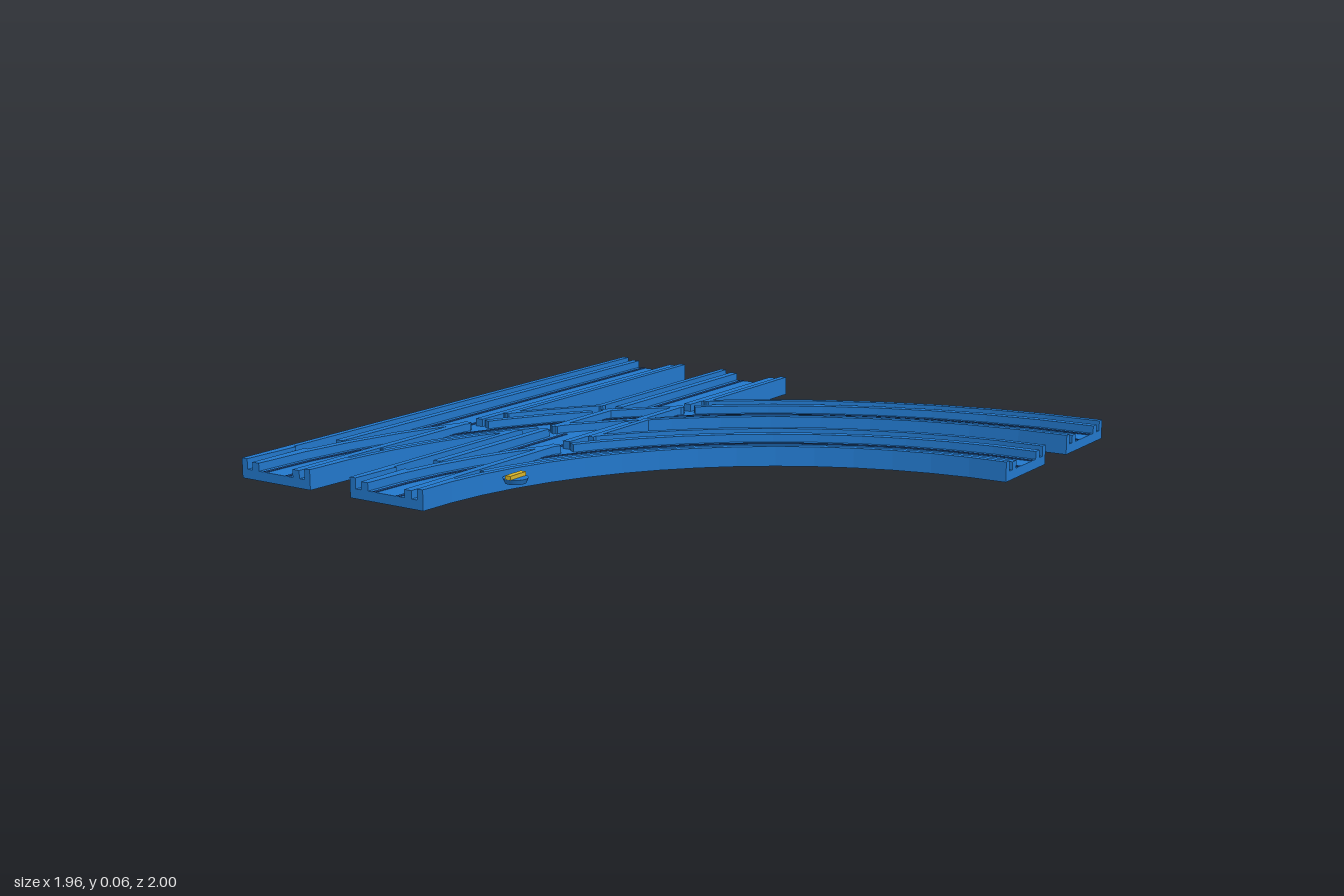
import * as THREE from 'three';

const blue = new THREE.MeshStandardMaterial({ color: 0x2278cc, name: 'track blue' });
const navy = new THREE.MeshStandardMaterial({ color: 0x1e4d8c, name: 'groove navy' });
const yellow = new THREE.MeshStandardMaterial({ color: 0xd8b62c, name: 'lever yellow' });

const SEG = 16;               // chords in a quarter turn
const CX = 0.98, CZ = 1;      // shared centre of both bends
const STEPS = 320;            // sampling used to find where rails are cut

// A track: point at side offset o and travel t, and distance from its centre line
const straight = (c) => ({
  kind: 'straight', knots: 1,
  at: (o, t) => [c - o, 1 - 2 * t],
  dist: (x) => Math.abs(x - c),
});
const bend = (R) => ({
  kind: 'curved', knots: SEG,
  at: (o, t) => {
    const i = Math.min(Math.floor(t * SEG), SEG - 1), f = t * SEG - i;
    const p = (k) => {
      const a = (k / SEG) * Math.PI / 2;
      return [CX - (R + o) * Math.cos(a), CZ - (R + o) * Math.sin(a)];
    };
    const a = p(i), b = p(i + 1);
    return [a[0] + (b[0] - a[0]) * f, a[1] + (b[1] - a[1]) * f];
  },
  dist: (x, z) => Math.abs(Math.hypot(x - CX, z - CZ) - R),
});

// Rectangular bar swept along a track, kept only where keep(x, z) holds
function bar(track, o0, o1, y0, y1, keep = () => true) {
  const runs = [];
  let run = null;
  for (let i = 0; i <= STEPS; i++) {
    const t = i / STEPS;
    if (keep(...track.at((o0 + o1) / 2, t))) {
      if (!run) runs.push(run = [t, t]);
      run[1] = t;
    } else run = null;
  }
  const pos = [];
  const quad = (a, b, c, d) => pos.push(...a, ...b, ...c, ...a, ...c, ...d);
  const ring = (t) => [[o0, y0], [o0, y1], [o1, y1], [o1, y0]].map(([o, y]) => {
    const [x, z] = track.at(o, t);
    return [x, y, z];
  });
  for (const [a, b] of runs) {
    if (b - a < 0.004) continue;
    const ts = [a];
    for (let k = 1; k < track.knots; k++) {
      const t = k / track.knots;
      if (t > a + 1e-6 && t < b - 1e-6) ts.push(t);
    }
    ts.push(b);
    const rings = ts.map(ring);
    for (let n = 0; n < rings.length - 1; n++) {
      const p = rings[n], q = rings[n + 1];
      for (let i = 0; i < 4; i++) {
        const j = (i + 1) % 4;
        quad(p[i], q[i], q[j], p[j]);
      }
    }
    const end = rings[rings.length - 1];
    quad(...rings[0]);
    quad(end[3], end[2], end[1], end[0]);
  }
  const g = new THREE.BufferGeometry();
  g.setAttribute('position', new THREE.Float32BufferAttribute(pos, 3));
  g.computeVertexNormals();
  return g;
}

export function createModel() {
  const model = new THREE.Group();
  model.name = 'doubleTrackJunction';
  const add = (parent, name, geometry, material) => {
    const mesh = new THREE.Mesh(geometry, material);
    mesh.name = name;
    parent.add(mesh);
    return mesh;
  };

  const tracks = [straight(-0.84), straight(-0.4), bend(1.82), bend(1.38)];
  for (const track of tracks) {
    const group = new THREE.Group();
    group.name = track.kind + 'Track';
    model.add(group);
    const others = tracks.filter((o) => o.kind !== track.kind);
    const clear = (x, z) => others.every((o) => o.dist(x, z) > 0.118);
    const outsideGrooves = (x, z) => others.every((o) => {
      const d = o.dist(x, z);
      return d < 0.097 || d > 0.118;
    });

    // Road bed
    add(group, 'bed', bar(track, -0.14, 0.14, 0, 0.03), blue);
    for (const s of [-1, 1]) {
      const side = (a, b) => (s > 0 ? [a, b] : [-b, -a]);
      // Outer walls open where another track crosses
      add(group, 'outerWall', bar(track, ...side(0.118, 0.14), 0.03, 0.063, clear), blue);
      // Inner rails break only at the other track's wheel grooves
      add(group, 'innerRail', bar(track, ...side(0.07, 0.097), 0.03, 0.055, outsideGrooves), blue);
      // Dark lines along the floor
      add(group, 'floorLine', bar(track, ...side(0.039, 0.052), 0.03, 0.032,
        track.kind === 'straight' ? clear : undefined), navy);
    }
  }

  // Switch lever beside the inner bend
  const lever = new THREE.Group();
  lever.name = 'switchLever';
  lever.position.set(-0.175, 0, 0.68);
  model.add(lever);
  add(lever, 'leverDisc', new THREE.CylinderGeometry(0.039, 0.032, 0.016, 24), blue).position.y = 0.038;
  add(lever, 'leverHandle', new THREE.BoxGeometry(0.02, 0.012, 0.074), yellow).position.y = 0.052;
  return model;
}
